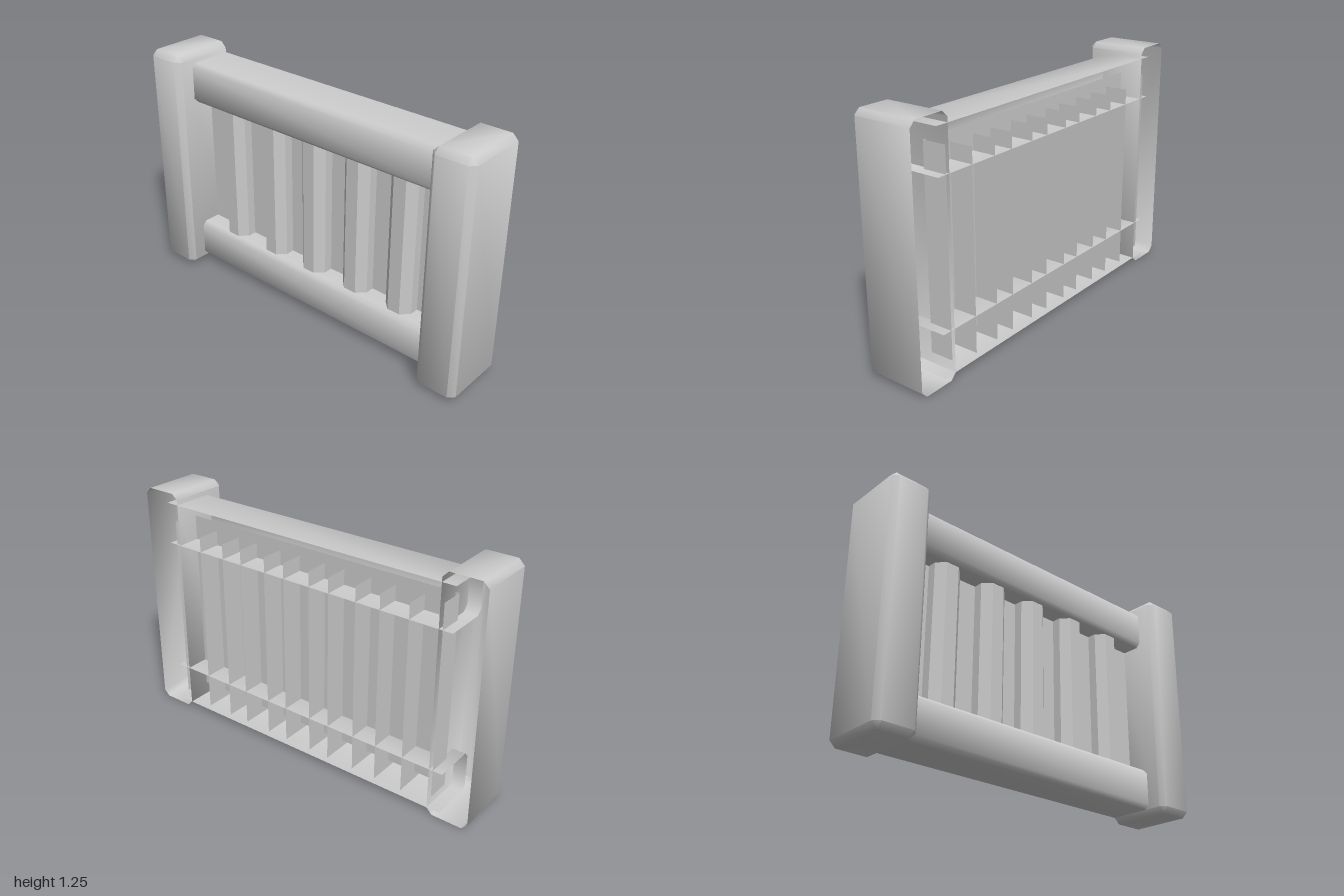
import * as THREE from 'three';
import { toCreasedNormals } from 'three/addons/utils/BufferGeometryUtils.js';

const material = new THREE.MeshStandardMaterial({ color: 0xcccccc, side: THREE.DoubleSide });
const BACK = -0.17; // every part is an open-backed shell ending on this plane

// Skins a list of equally long point loops, skipping collapsed triangles.
function skin(loops, closed, cap, crease) {
  const pos = [];
  const tri = (a, b, c) => {
    const t = new THREE.Triangle(a, b, c);
    if (t.getArea() > 1e-9) [a, b, c].forEach((p) => pos.push(p.x, p.y, p.z));
  };
  for (let k = 0; k < loops.length - 1; k++) {
    const lo = loops[k], hi = loops[k + 1], n = lo.length;
    for (let i = 0; i < (closed ? n : n - 1); i++) {
      const j = (i + 1) % n;
      tri(lo[i], lo[j], hi[j]);
      tri(lo[i], hi[j], hi[i]);
    }
  }
  if (cap) {
    const end = loops[loops.length - 1];
    for (let i = 1; i < end.length - 1; i++) tri(end[0], end[i], end[i + 1]);
  }
  const geometry = new THREE.BufferGeometry();
  geometry.setAttribute('position', new THREE.Float32BufferAttribute(pos, 3));
  return toCreasedNormals(geometry, crease);
}

// Rectangle with cut corners, counter-clockwise seen from the front.
function ring(w, h, cut, z) {
  const x = w / 2, y = h / 2;
  return [
    [x, -y + cut], [x, y - cut], [x - cut, y], [-x + cut, y],
    [-x, y - cut], [-x, -y + cut], [-x + cut, -y], [x - cut, -y],
  ].map(([px, py]) => new THREE.Vector3(px, py, z));
}

// Three-sided channel profile: [across, z], chamfered at the front.
function channel(half, front, bx, bz) {
  return [[-half, BACK], [-half, front - bz], [-half + bx, front],
    [half - bx, front], [half, front - bz], [half, BACK]];
}

function upright(profile, y0, y1) {
  return skin([y0, y1].map((y) => profile.map(([x, z]) => new THREE.Vector3(x, y, z))), false, false, 0.3);
}

function add(group, name, geometry, x = 0, y = 0) {
  const mesh = new THREE.Mesh(geometry, material);
  mesh.name = name;
  mesh.position.set(x, y, 0);
  group.add(mesh);
}

export function createModel() {
  const group = new THREE.Group();
  group.name = 'railingPanel';

  // End posts, chamfered on every edge but the open back
  const b = 0.03, w = 0.22, h = 1.255;
  const post = skin([
    ring(w, h, b, BACK), ring(w, h, b, 0.17 - b), ring(w - 2 * b, h - 2 * b, 0, 0.17),
  ], true, true, 0.9);
  add(group, 'leftPost', post, 0.89, h / 2);
  add(group, 'rightPost', post, -0.89, h / 2);

  // Horizontal rails, running a little way into the posts
  const railProfile = channel(0.11, 0.07, 0.025, 0.025);
  const rail = skin([-0.85, 0.85].map((x) =>
    railProfile.map(([v, z]) => new THREE.Vector3(x, -v, z))), false, false, 0.9);
  add(group, 'topRail', rail, 0, 1.09);
  add(group, 'bottomRail', rail, 0, 0.14);

  // Recessed panel behind the slats
  add(group, 'backPanel', upright(
    [[-0.8, BACK], [-0.8, -0.045], [0.8, -0.045], [0.8, BACK]], 0.1, 1.11));

  // Vertical slats with chamfered front corners
  const slat = upright(channel(0.077, 0.045, 0.042, 0.042), 0.06, 1.06);
  [-0.553, -0.265, 0.005, 0.28, 0.555].forEach((x, i) => add(group, `slat${i + 1}`, slat, x));

  return group;
}
